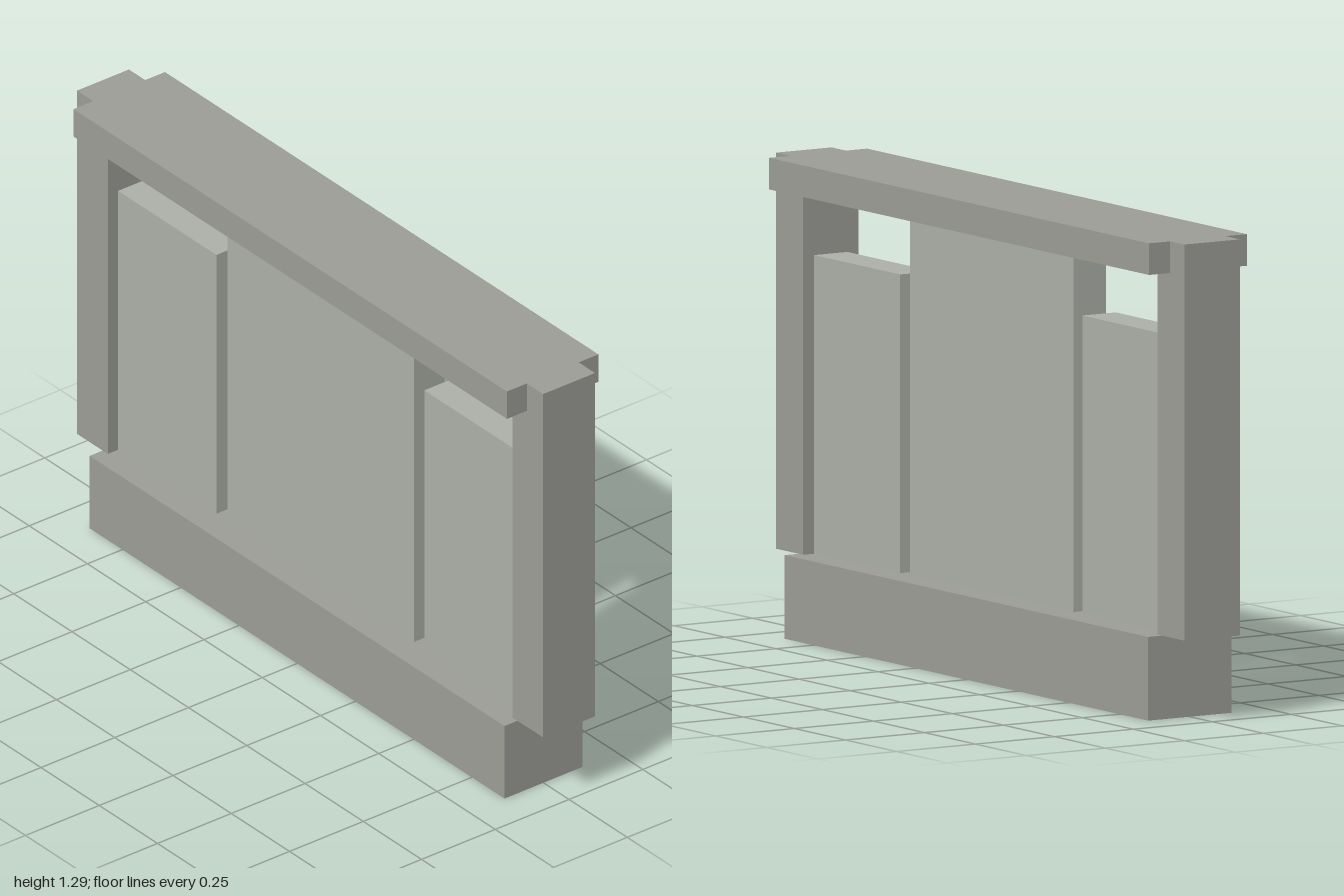
import * as THREE from 'three';

export function createModel() {
  const group = new THREE.Group();
  const frame = new THREE.MeshStandardMaterial({ color: 0x9d9d97 });
  const infill = new THREE.MeshStandardMaterial({ color: 0xadb0a8 });

  // Box given by its x and y extents and its full depth, centred on z = 0
  function block(name, x0, x1, y0, y1, depth, material) {
    const mesh = new THREE.Mesh(new THREE.BoxGeometry(x1 - x0, y1 - y0, depth), material);
    mesh.position.set((x0 + x1) / 2, (y0 + y1) / 2, 0);
    mesh.name = name;
    group.add(mesh);
  }

  const baseTop = 0.225, railBottom = 1.205, top = 1.29;

  // Plinth, top rail and the tall middle panel
  block('base', -0.89, 0.89, 0, baseTop, 0.264, frame);
  block('topRail', -0.93, 0.93, railBottom, top, 0.31, frame);
  block('centerPanel', -0.4, 0.4, baseTop, railBottom, 0.102, infill);

  // End posts and the shorter panels beside them, mirrored
  for (const [side, s] of [['left', 1], ['right', -1]]) {
    const mirrored = (name, a, b, ...rest) =>
      block(side + name, Math.min(s * a, s * b), Math.max(s * a, s * b), ...rest);
    mirrored('Post', 0.868, 1, baseTop, top, 0.176, frame);
    mirrored('SidePanel', 0.446, 0.868, baseTop, 1.028, 0.106, infill);
  }
  return group;
}
